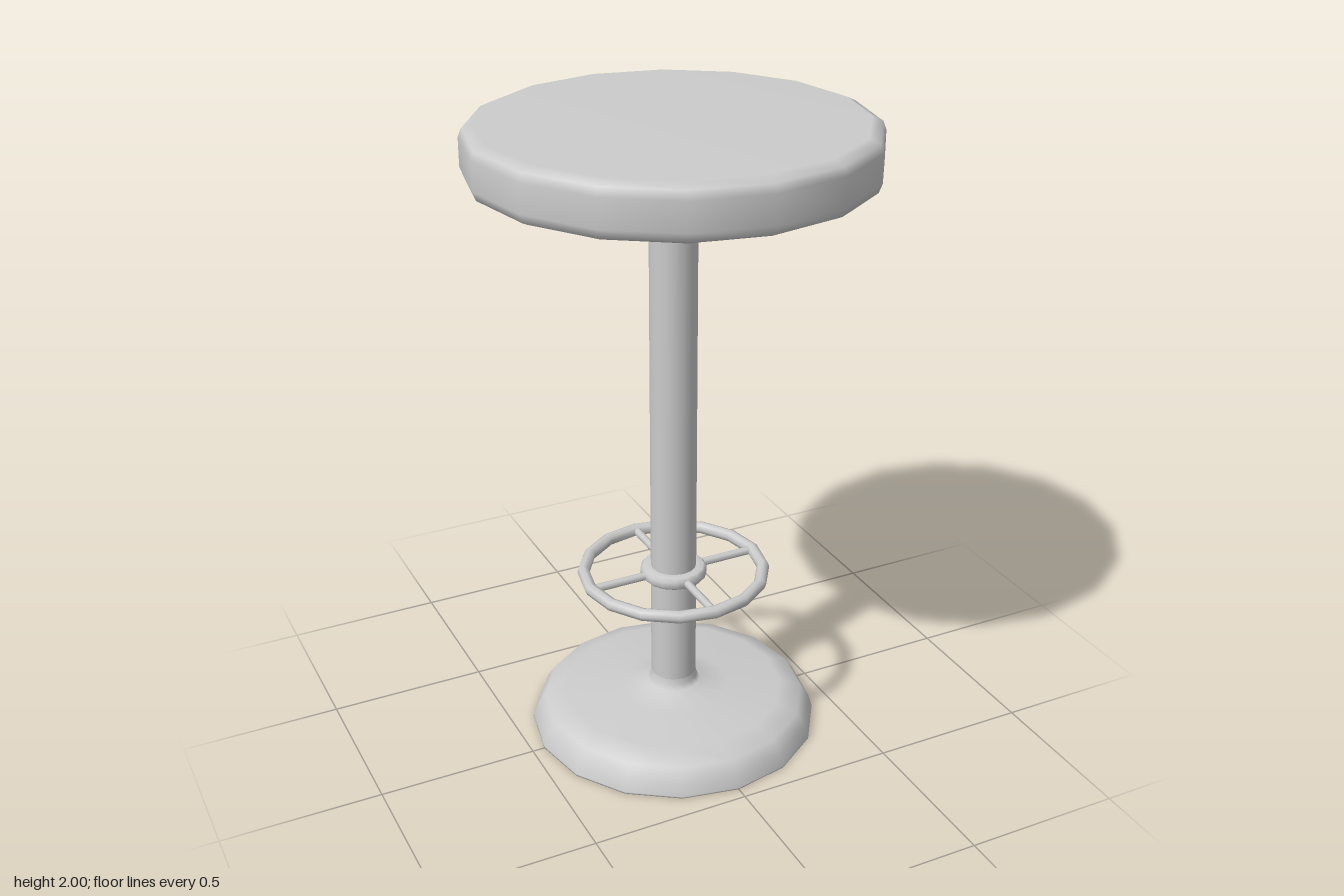
import * as THREE from 'three';

const SIDES = 16;
const material = new THREE.MeshStandardMaterial({ color: 0xcccccc });

export function createModel() {
  const stool = new THREE.Group();
  stool.name = 'barStool';

  const add = (name, geometry, parent = stool) => {
    const mesh = new THREE.Mesh(geometry, material);
    mesh.name = name;
    parent.add(mesh);
    return mesh;
  };
  // Turned part from [radius, height] pairs, listed bottom to top
  const turned = (profile) =>
    new THREE.LatheGeometry(profile.map(([r, y]) => new THREE.Vector2(r, y)), SIDES);

  // Padded seat with softened rims
  add('seat', turned([
    [0, 1.84], [0.575, 1.84], [0.592, 1.848], [0.602, 1.875],
    [0.602, 1.96], [0.592, 1.985], [0.56, 2], [0, 2],
  ]));

  // Column
  const column = add('column', new THREE.CylinderGeometry(0.072, 0.072, 1.74, SIDES, 1, true));
  column.position.y = 0.98;

  // Domed foot flaring up into the column
  add('base', turned([
    [0, 0], [0.46, 0], [0.46, 0.005], [0.447, 0.045], [0.42, 0.085], [0.35, 0.11],
    [0.18, 0.113], [0.085, 0.137], [0.075, 0.155], [0.071, 0.18],
  ]));

  // Footrest: ring, hub and four spokes
  const footrest = new THREE.Group();
  footrest.name = 'footrest';
  footrest.position.y = 0.545;
  stool.add(footrest);

  const ring = add('footrestRing', new THREE.TorusGeometry(0.285, 0.02, 8, SIDES), footrest);
  ring.rotation.x = Math.PI / 2;

  add('footrestHub', turned([
    [0.07, -0.02], [0.095, -0.02], [0.105, -0.01], [0.105, 0.01], [0.095, 0.02], [0.07, 0.02],
  ]), footrest);

  for (let i = 0; i < 4; i++) {
    const pivot = new THREE.Group();
    pivot.rotation.y = (i * Math.PI) / 2;
    const spoke = add('footrestSpoke', new THREE.CylinderGeometry(0.013, 0.013, 0.2, 8, 1, true), pivot);
    spoke.rotation.z = Math.PI / 2;
    spoke.position.x = 0.18;
    footrest.add(pivot);
  }

  return stool;
}
